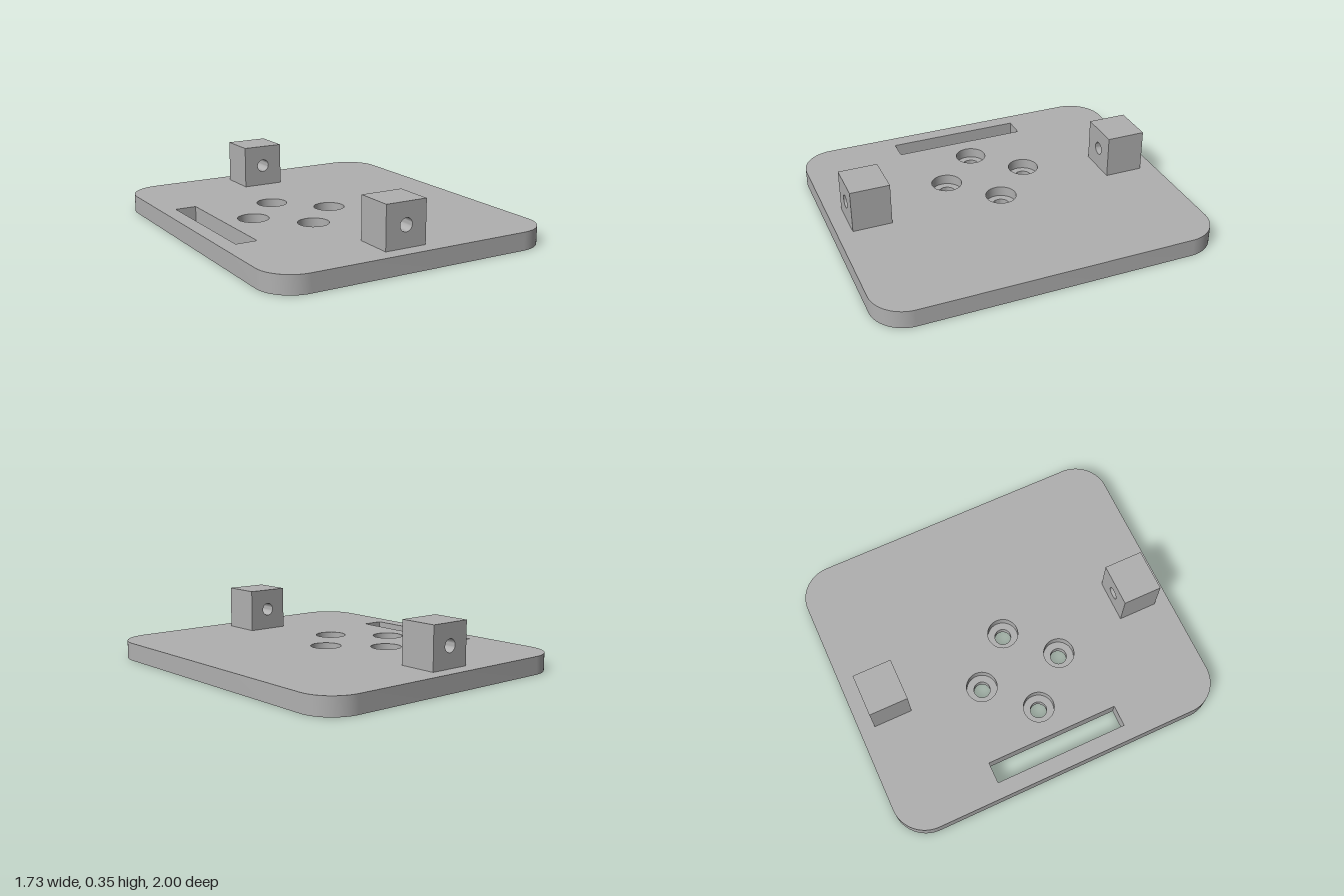
import * as THREE from 'three';
import { toCreasedNormals } from 'three/addons/utils/BufferGeometryUtils.js';

const THICK = 0.105;      // base plate thickness
const BORE = 0.048;       // screw hole radius
const RECESS = 0.09;      // screw head recess radius
const SHELF = 0.045;      // height of the recess floor

// Rectangle with optional rounded corners, centred on (cx, cy)
function rect(path, cx, cy, w, h, r = 0) {
  const x = w / 2, y = h / 2;
  if (!r) {
    path.moveTo(cx - x, cy - y).lineTo(cx + x, cy - y).lineTo(cx + x, cy + y).lineTo(cx - x, cy + y).closePath();
    return path;
  }
  path.moveTo(cx - x + r, cy - y);
  path.absarc(cx + x - r, cy - y + r, r, -Math.PI / 2, 0);
  path.absarc(cx + x - r, cy + y - r, r, 0, Math.PI / 2);
  path.absarc(cx - x + r, cy + y - r, r, Math.PI / 2, Math.PI);
  path.absarc(cx - x + r, cy - y + r, r, Math.PI, Math.PI * 1.5);
  path.closePath();
  return path;
}

const circle = (x, y, r) => new THREE.Path().absarc(x, y, r, 0, Math.PI * 2, true);

const extrude = (shape, depth) =>
  new THREE.ExtrudeGeometry(shape, { depth, bevelEnabled: false, curveSegments: 16 });

export function createModel() {
  const group = new THREE.Group();
  const grey = new THREE.MeshStandardMaterial({ name: 'grey', color: 0xb0b0b0 });

  const add = (name, geometry, x = 0, y = 0, z = 0) => {
    const mesh = new THREE.Mesh(toCreasedNormals(geometry, 0.6), grey);
    mesh.name = name;
    mesh.position.set(x, y, z);
    group.add(mesh);
  };

  // Base plate with a strap slot and four screw holes
  const screws = [[-0.22, -0.25], [-0.22, 0.25], [-0.47, 0], [0.03, 0]];
  const plate = rect(new THREE.Shape(), 0, 0, 1.73, 2, 0.2);
  plate.holes.push(rect(new THREE.Path(), -0.7125, 0, 0.125, 0.8));
  for (const [x, z] of screws) plate.holes.push(circle(x, -z, RECESS));
  add('basePlate', extrude(plate, THICK).rotateX(-Math.PI / 2));

  // Stepped floor of each screw hole
  const step = [[RECESS, SHELF], [BORE, SHELF], [BORE, 0], [RECESS, 0]].map(p => new THREE.Vector2(...p));
  for (const [x, z] of screws) add('screwSeat', new THREE.LatheGeometry(step, 32), x, 0, z);

  // Front and back lugs, each drilled along z
  const lug = rect(new THREE.Shape(), 0, 0, 0.25, 0.25);
  lug.holes.push(circle(0, 0, 0.038));
  for (const [name, z] of [['frontLug', 0.795], ['backLug', -0.795]]) {
    add(name, extrude(lug, 0.23).translate(0, 0, -0.115), -0.055, THICK + 0.125, z);
  }
  return group;
}
